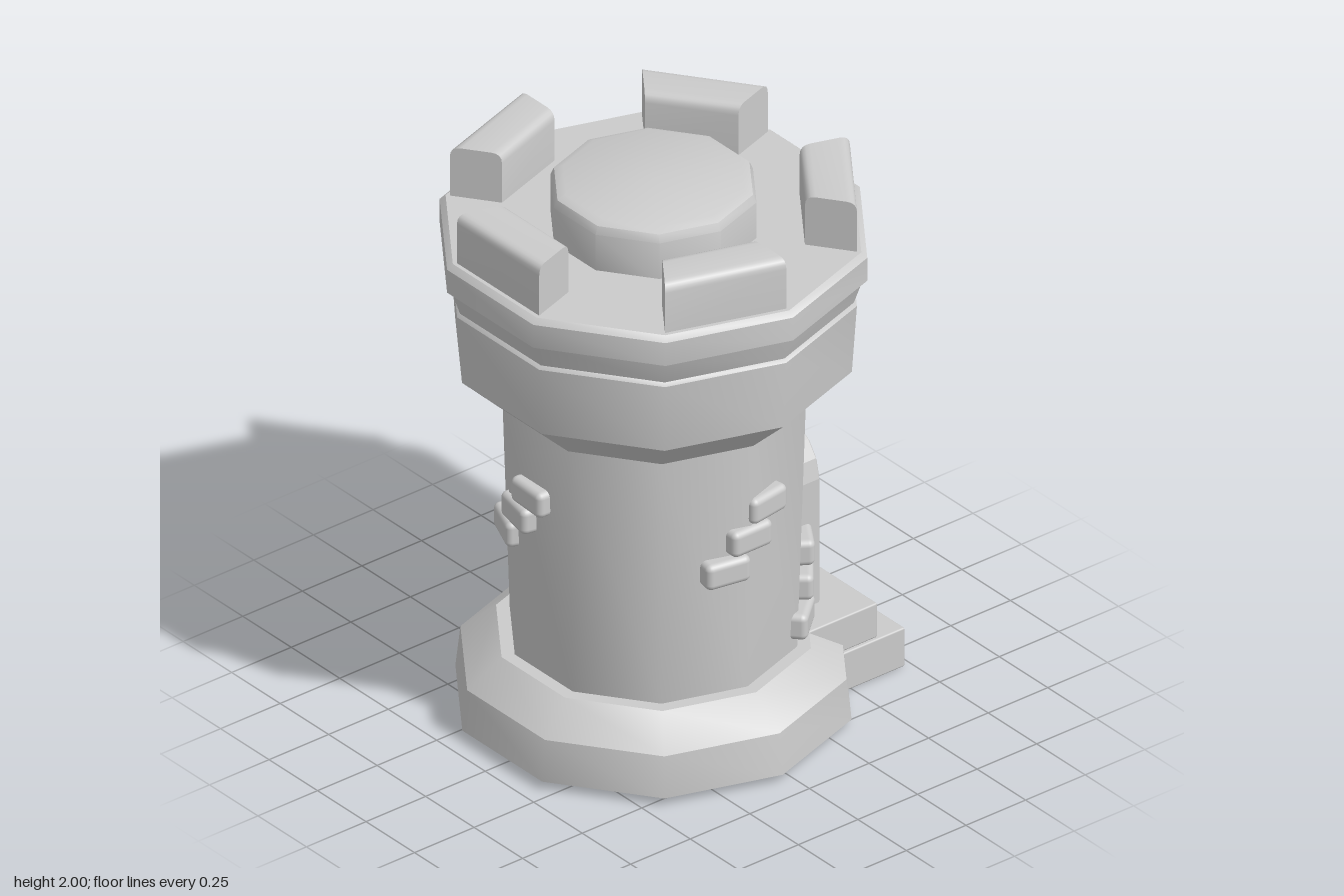
import * as THREE from 'three';
import { toCreasedNormals } from 'three/addons/utils/BufferGeometryUtils.js';
import { RoundedBoxGeometry } from 'three/addons/geometries/RoundedBoxGeometry.js';

const SIDES = 10;
const TAN = Math.tan(Math.PI / SIDES);
const rad = THREE.MathUtils.degToRad;
const stone = new THREE.MeshStandardMaterial({ color: 0xcccccc });
const shell = new THREE.MeshStandardMaterial({ color: 0xcccccc, side: THREE.DoubleSide });
const vec = ([x, y]) => new THREE.Vector2(x, y);

function add(parent, name, geometry, material = stone) {
  const mesh = new THREE.Mesh(geometry, material);
  mesh.name = name;
  parent.add(mesh);
  return mesh;
}

// Ten-sided turned body: smooth around, sharp between the bands
const turned = (profile) =>
  toCreasedNormals(new THREE.LatheGeometry(profile.map(vec), SIDES), 0.68);

// Bevelled slab cut from an outline, with its face at z = front
function slab(points, front, depth, bevel = 0.005) {
  const g = new THREE.ExtrudeGeometry(new THREE.Shape(points.map(vec)), {
    depth: depth - bevel, bevelEnabled: true, bevelSegments: 1,
    bevelSize: bevel, bevelOffset: -bevel, bevelThickness: bevel,
  });
  return g.translate(0, 0, front - depth);
}

// Battlement block: rounded section swept along one face, widening outward
function merlonGeometry() {
  const r0 = 0.485, r1 = 0.652, y0 = 1.8, y1 = 2, c = 0.035;
  const s = new THREE.Shape();
  s.moveTo(r0, y0);
  s.lineTo(r1, y0);
  s.lineTo(r1, y1 - c);
  s.quadraticCurveTo(r1, y1, r1 - c, y1);
  s.lineTo(r0 + c, y1);
  s.quadraticCurveTo(r0, y1, r0, y1 - c);
  const g = new THREE.ExtrudeGeometry(s, { depth: 2, bevelEnabled: false, curveSegments: 4 });
  const p = g.attributes.position;
  for (let i = 0; i < p.count; i++) p.setZ(i, (p.getZ(i) - 1) * p.getX(i) * TAN);
  return toCreasedNormals(g, 0.6).rotateY(-Math.PI / 2);
}

function buildDoor() {
  const door = new THREE.Group();
  door.name = 'door';
  // Right half of the arch, outside and inside, from sill to crown
  const outer = [[0.247, 0.3], [0.247, 0.77], [0.23, 0.84], [0.19, 0.895], [0.115, 0.935], [0, 0.94]];
  const inner = [[0.218, 0.3], [0.218, 0.765], [0.2, 0.82], [0.168, 0.86], [0.1, 0.89], [0, 0.893]];
  const flip = (pts) => pts.map(([x, y]) => [-x, y]).reverse();

  // Stone frame, block by block, mirrored
  for (let i = 0; i < outer.length - 1; i++) {
    const block = [outer[i], outer[i + 1], inner[i + 1], inner[i]];
    add(door, 'doorFrameBlock', slab(block, 0.455, 0.22));
    add(door, 'doorFrameBlock', slab(flip(block), 0.455, 0.22));
  }

  // Backing panel behind the planks
  add(door, 'doorPanel', slab([...inner, ...flip(inner).slice(1)], 0.432, 0.2, 0.002));

  // Planks whose tops follow the arch
  const archY = (x) => {
    const a = Math.abs(x);
    for (let i = inner.length - 1; i > 1; i--) {
      const [x0, y0] = inner[i], [x1, y1] = inner[i - 1];
      if (a <= x1) return y0 + (y1 - y0) * (a - x0) / (x1 - x0);
    }
    return inner[1][1];
  };
  const planks = 6, w = 0.436 / planks;
  for (let i = 0; i < planks; i++) {
    const a = -0.218 + i * w + 0.004, b = a + w - 0.008;
    const outline = [[a, 0.3], [b, 0.3], [b, archY(b)], [(a + b) / 2, archY((a + b) / 2)], [a, archY(a)]];
    add(door, 'doorPlank', slab(outline, 0.445, 0.04));
  }

  // Cross bar, lock and keystone
  add(door, 'doorBar', new RoundedBoxGeometry(0.46, 0.07, 0.04, 1, 0.004)).position.set(0.005, 0.565, 0.437);
  add(door, 'doorLock', new RoundedBoxGeometry(0.14, 0.08, 0.06, 1, 0.005)).position.set(0.04, 0.565, 0.452);
  add(door, 'keystone', new RoundedBoxGeometry(0.185, 0.13, 0.12, 2, 0.014)).position.set(0, 0.983, 0.398);

  door.rotation.y = Math.PI / 2;
  return door;
}

export function createModel() {
  const model = new THREE.Group();
  model.name = 'castleTower';

  const tower = new THREE.Group();
  tower.name = 'tower';
  tower.position.x = -0.044;
  model.add(tower);

  // Hollow plinth, tapering wall and flared head up to the roof deck
  add(tower, 'towerBody', turned([
    [0.667, 0.03], [0.65, 0.18], [0.53, 0.28], [0.484, 0.28], [0.513, 1.21],
    [0.668, 1.355], [0.685, 1.608], [0.675, 1.62], [0.705, 1.71],
  ]), shell);
  add(tower, 'parapetRim', turned([
    [0.66, 1.71], [0.72, 1.71], [0.72, 1.797], [0.7, 1.815], [0, 1.815],
  ]), shell);
  add(tower, 'roofDrum', turned([
    [0.347, 1.8], [0.347, 1.95], [0.335, 1.977], [0.305, 1.99], [0, 1.99],
  ]));

  // Battlements on every other face
  const merlon = merlonGeometry();
  for (let i = 0; i < 5; i++) add(tower, 'merlon', merlon).rotation.y = rad(54 + 72 * i);

  // Stepped groups of raised bricks: [angles bottom to top], lowest height
  const brick = new RoundedBoxGeometry(0.165, 0.095, 0.08, 3, 0.022);
  const brickGroups = [
    [[-10.5, 0, 8.5], 0.755],
    [[41, 51, 57], 0.37],
    [[118, 126, 134], 0.335],
    [[164, 175, 186], 0.335],
    [[247, 258, 267], 0.755],
  ];
  for (const [angles, y] of brickGroups) {
    angles.forEach((deg, i) => {
      const a = rad(deg);
      const b = add(tower, 'brick', brick);
      b.position.set(0.482 * Math.sin(a), y + 0.1 * i, 0.482 * Math.cos(a));
      b.rotation.y = a;
    });
  }

  model.add(buildDoor());

  // Two entrance steps
  const steps = [['upperStep', 0.3, 0.61, 0.155, 0.285], ['lowerStep', 0.44, 0.725, 0, 0.147]];
  for (const [name, x0, x1, y0, y1] of steps) {
    add(model, name, new RoundedBoxGeometry(x1 - x0, y1 - y0, 0.685, 1, 0.006))
      .position.set((x0 + x1) / 2, (y0 + y1) / 2, 0.01);
  }
  return model;
}
